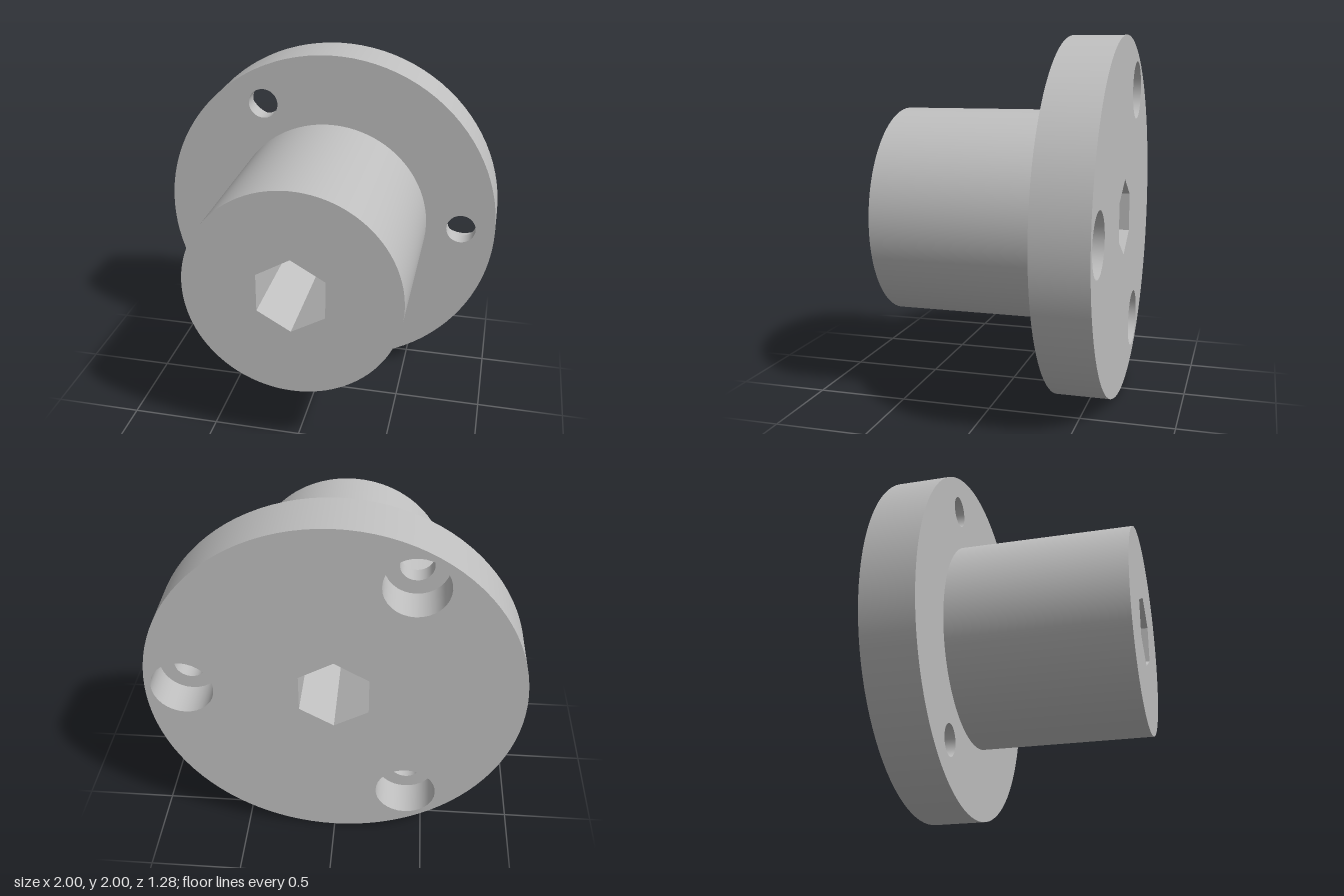
import * as THREE from 'three';

const BACK = -0.64, FLOOR = -0.44, SHOULDER = -0.345, FRONT = 0.64;
const FLANGE_R = 1, HUB_R = 0.592, HEX_R = 0.213, BOLT_R = 0.087, BORE_R = 0.167;
const BOLT_CIRCLE = 0.8, ROUND = 96, SMALL = 32;

// Points of a regular polygon with one corner straight up
const ring = (r, n, cx = 0, cy = 0) => Array.from({ length: n }, (_, i) => {
  const a = Math.PI / 2 + (i / n) * Math.PI * 2;
  return new THREE.Vector2(cx + r * Math.cos(a), cy + r * Math.sin(a));
});

export function createModel() {
  const steel = new THREE.MeshStandardMaterial({ color: 0xbfbfbf });
  steel.name = 'plain grey';

  const model = new THREE.Group();
  model.name = 'flangedHub';
  const body = new THREE.Group();
  body.name = 'body';
  body.position.y = 1;
  model.add(body);

  const add = (name, geometry, x = 0, y = 0, z = 0) => {
    const mesh = new THREE.Mesh(geometry, steel);
    mesh.name = name;
    mesh.position.set(x, y, z);
    body.add(mesh);
    return mesh;
  };

  // Flat face with holes, facing front or back (the part is symmetric in y)
  const face = (name, outline, holes, z, back = false, x = 0, y = 0) => {
    const shape = new THREE.Shape(outline);
    holes.forEach(h => shape.holes.push(new THREE.Path(h)));
    const mesh = add(name, new THREE.ShapeGeometry(shape), x, y, z);
    if (back) mesh.rotation.x = Math.PI;
  };

  // Wall along z; inward walls line a hole
  const wall = (name, r, z0, z1, n, inward = false, x = 0, y = 0) => {
    const profile = [new THREE.Vector2(r, z0), new THREE.Vector2(r, z1)];
    if (inward) profile.reverse();
    let geometry = new THREE.LatheGeometry(profile, n).rotateX(Math.PI / 2);
    if (n === 6) {
      geometry = geometry.toNonIndexed();
      geometry.computeVertexNormals();
    }
    add(name, geometry, x, y);
  };

  const centres = [0, 1, 2].map(i => {
    const a = (i / 3) * Math.PI * 2;
    return [BOLT_CIRCLE * Math.cos(a), BOLT_CIRCLE * Math.sin(a)];
  });
  const holes = r => centres.map(([x, y]) => ring(r, SMALL, x, y));
  const hex = ring(HEX_R, 6);

  // Flange
  wall('flangeRim', FLANGE_R, BACK, SHOULDER, ROUND);
  face('flangeBack', ring(FLANGE_R, ROUND), [hex, ...holes(BORE_R)], BACK, true);
  face('flangeFront', ring(FLANGE_R, ROUND), [ring(HUB_R, ROUND), ...holes(BOLT_R)], SHOULDER);

  // Hub with a hexagonal through socket
  wall('hubSide', HUB_R, SHOULDER, FRONT, ROUND);
  face('hubFront', ring(HUB_R, ROUND), [hex], FRONT);
  wall('hexSocket', HEX_R, BACK, FRONT, 6, true);

  // Bolt holes, counterbored from the back
  centres.forEach(([x, y]) => {
    wall('counterbore', BORE_R, BACK, FLOOR, SMALL, true, x, y);
    face('counterboreFloor', ring(BORE_R, SMALL), [ring(BOLT_R, SMALL)], FLOOR, true, x, y);
    wall('boltHole', BOLT_R, FLOOR, SHOULDER, SMALL, true, x, y);
  });

  return model;
}
